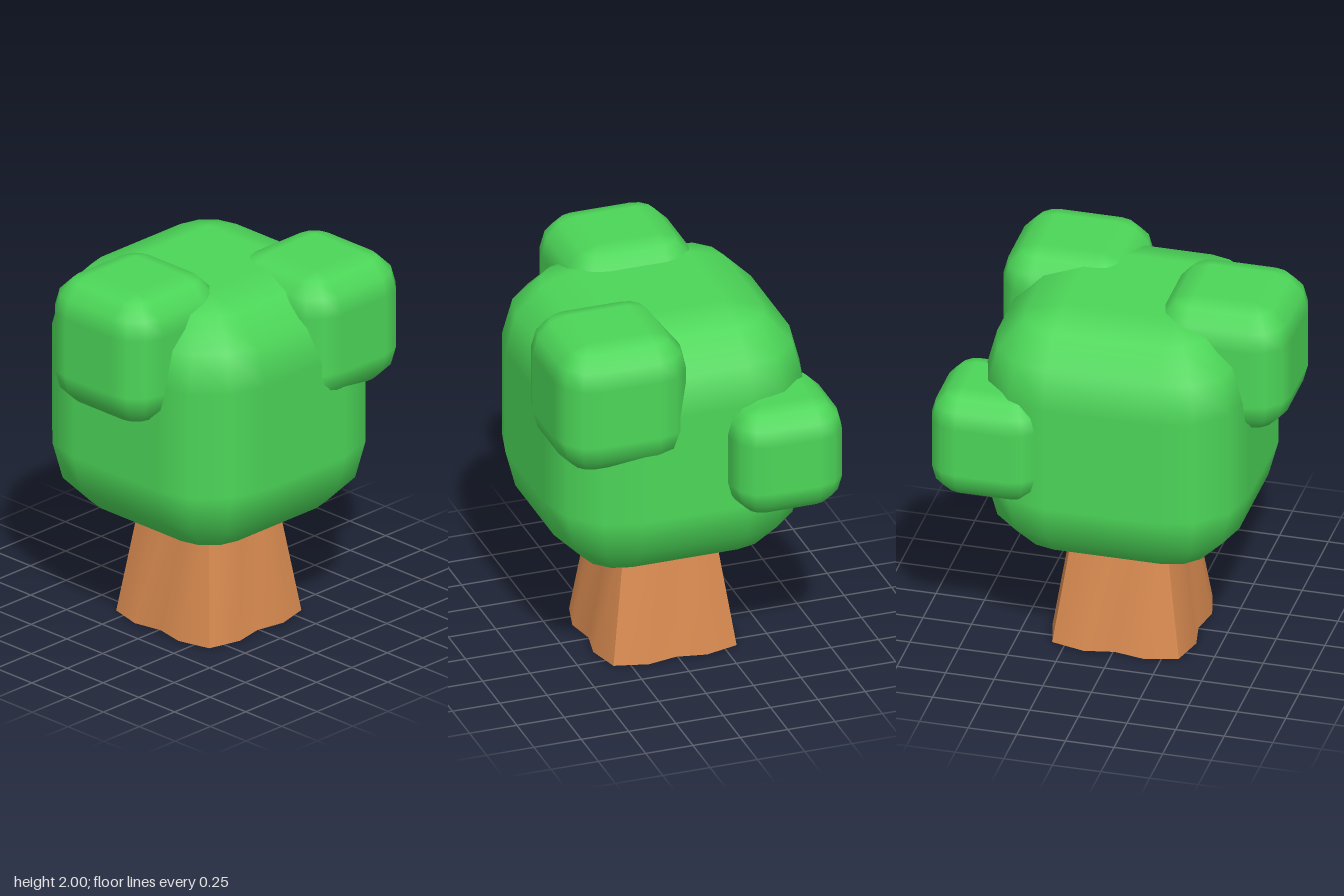
import * as THREE from 'three';
import { toCreasedNormals } from 'three/addons/utils/BufferGeometryUtils.js';

// Cube with rounded edges and corners, three facets per quarter turn
function roundedCube(size, radius, steps = 3) {
  const inner = size / 2 - radius;
  const perCorner = steps + 1, cols = 4 * perCorner, rows = 2 * perCorner;
  const pos = [], nor = [], index = [];
  for (let i = 0; i < rows; i++) {
    const half = Math.floor(i / perCorner);
    const theta = (half + (i % perCorner) / steps) * Math.PI / 2;
    for (let j = 0; j < cols; j++) {
      const quarter = Math.floor(j / perCorner);
      const phi = (quarter + (j % perCorner) / steps) * Math.PI / 2;
      const mid = (quarter + 0.5) * Math.PI / 2;
      const n = [Math.sin(theta) * Math.cos(phi), Math.cos(theta), Math.sin(theta) * Math.sin(phi)];
      const corner = [Math.sign(Math.cos(mid)), half ? -1 : 1, Math.sign(Math.sin(mid))];
      nor.push(...n);
      pos.push(...n.map((v, k) => v * radius + corner[k] * inner));
      if (i < rows - 1) {
        const a = i * cols + j, b = i * cols + (j + 1) % cols;
        index.push(a, b, a + cols, b, b + cols, a + cols);
      }
    }
  }
  // Flat top and bottom squares
  const p = perCorner, base = (rows - 1) * cols;
  index.push(0, 2 * p, p, 0, 3 * p, 2 * p);
  index.push(base, base + p, base + 2 * p, base, base + 2 * p, base + 3 * p);
  const geo = new THREE.BufferGeometry();
  geo.setAttribute('position', new THREE.Float32BufferAttribute(pos, 3));
  geo.setAttribute('normal', new THREE.Float32BufferAttribute(nor, 3));
  geo.setIndex(index);
  return geo;
}

// Tapered trunk with a four-lobed section, lobes on the diagonals
function trunkGeometry() {
  const height = 0.7;
  const geo = new THREE.CylinderGeometry(0.7, 1, height, 16, 1);
  const pos = geo.attributes.position;
  for (let i = 0; i < pos.count; i++) {
    const x = pos.getX(i), z = pos.getZ(i);
    const r = 0.4 - 0.06 * Math.cos(4 * Math.atan2(z, x));
    pos.setXYZ(i, x * r, pos.getY(i) + height / 2, z * r);
  }
  return toCreasedNormals(geo, 0.6);
}

export function createModel() {
  const leaves = new THREE.MeshStandardMaterial({ color: 0x4cd658 });
  leaves.name = 'leaf green';
  const bark = new THREE.MeshStandardMaterial({ color: 0xd88a50 });
  bark.name = 'bark brown';

  const tree = new THREE.Group();
  tree.name = 'tree';
  const add = (name, geo, material, x, y, z) => {
    const mesh = new THREE.Mesh(geo, material);
    mesh.name = name;
    mesh.position.set(x, y, z);
    tree.add(mesh);
  };

  add('trunk', trunkGeometry(), bark, 0.008, 0, 0.008);

  // Foliage: one big block with three smaller clumps
  add('crown', roundedCube(1.35, 0.395), leaves, 0.01, 1.243, 0.01);
  add('frontClump', roundedCube(0.69, 0.19), leaves, 0.01, 1.655, 0.525);
  add('backLeftClump', roundedCube(0.69, 0.19), leaves, 0.377, 1.607, -0.367);
  add('backRightClump', roundedCube(0.58, 0.16), leaves, -0.435, 1.25, -0.58);

  return tree;
}
